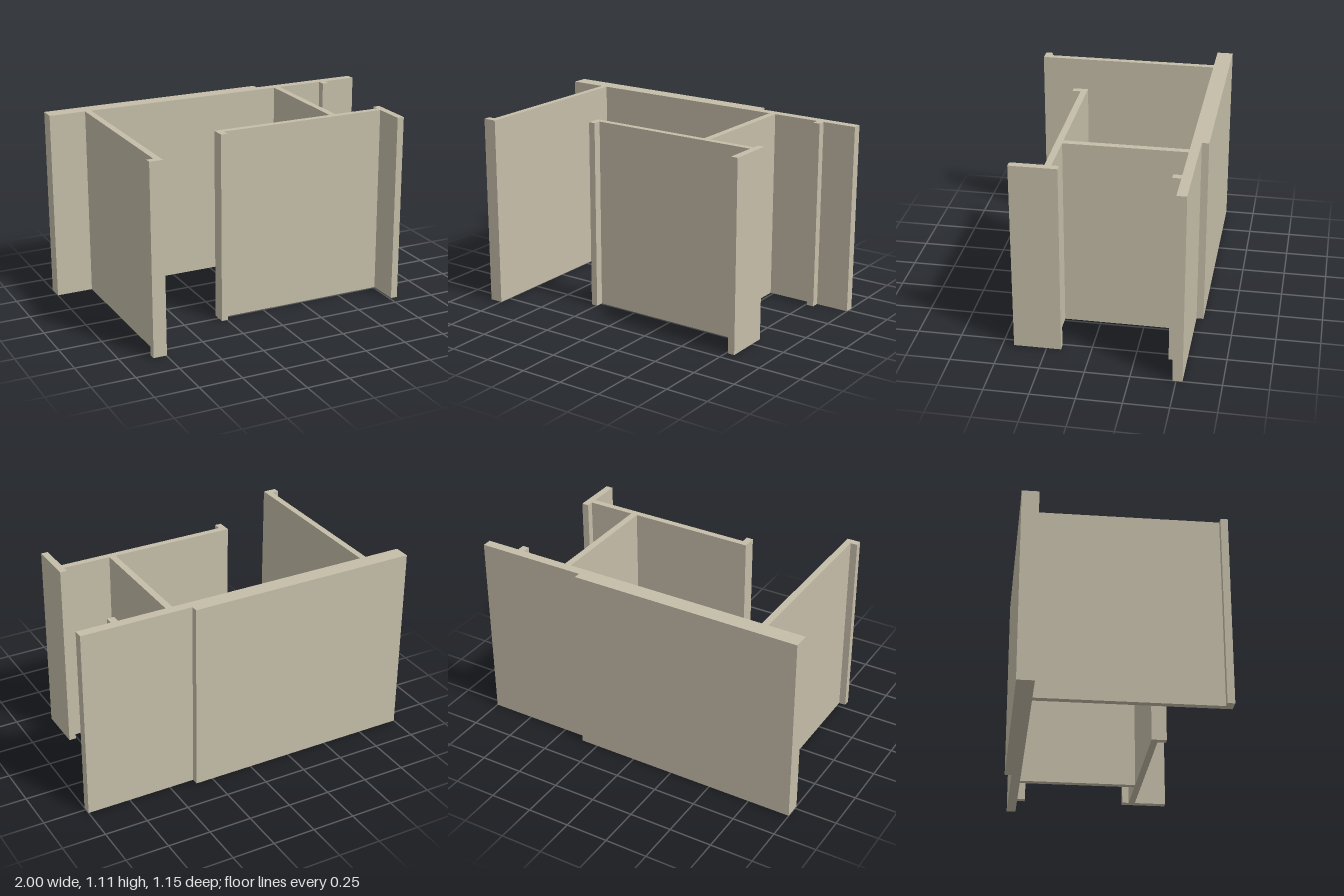
import * as THREE from 'three';

const HEIGHT = 1.11;

// Plan outline as [x, z] corners, walked around the whole section
const OUTLINE = [
  // stepped back wall, outer side
  [1, -0.48], [1, -0.535], [0.352, -0.535], [0.352, -0.575], [-1, -0.575], [-1, -0.48],
  // long side wall with its outward lip
  [-0.785, -0.48], [-0.785, 0.532], [-0.825, 0.532], [-0.825, 0.573], [-0.747, 0.573], [-0.747, -0.48],
  // web, then the front plate with its hooked end
  [0.443, -0.48], [0.443, 0.208], [-0.284, 0.208], [-0.284, 0.293], [-0.245, 0.293], [-0.245, 0.246],
  // cross flange at the other end of the front plate
  [0.76, 0.246], [0.76, 0.435], [0.801, 0.435], [0.801, 0.168], [0.76, 0.168], [0.76, 0.208],
  // back along the web to the small rib on the back wall
  [0.482, 0.208], [0.482, -0.48], [0.76, -0.48], [0.76, -0.433], [0.801, -0.433], [0.801, -0.48],
];

export function createModel() {
  const group = new THREE.Group();
  group.name = 'extrudedProfile';

  const material = new THREE.MeshStandardMaterial({ color: 0xc5bda9 });
  material.name = 'warm beige';

  // Extrude the section upright: shape y becomes -z
  const shape = new THREE.Shape(OUTLINE.map(([x, z]) => new THREE.Vector2(x, -z)));
  const geometry = new THREE.ExtrudeGeometry(shape, { depth: HEIGHT, bevelEnabled: false });
  geometry.rotateX(-Math.PI / 2);

  const profile = new THREE.Mesh(geometry, material);
  profile.name = 'profileSection';
  group.add(profile);
  return group;
}
